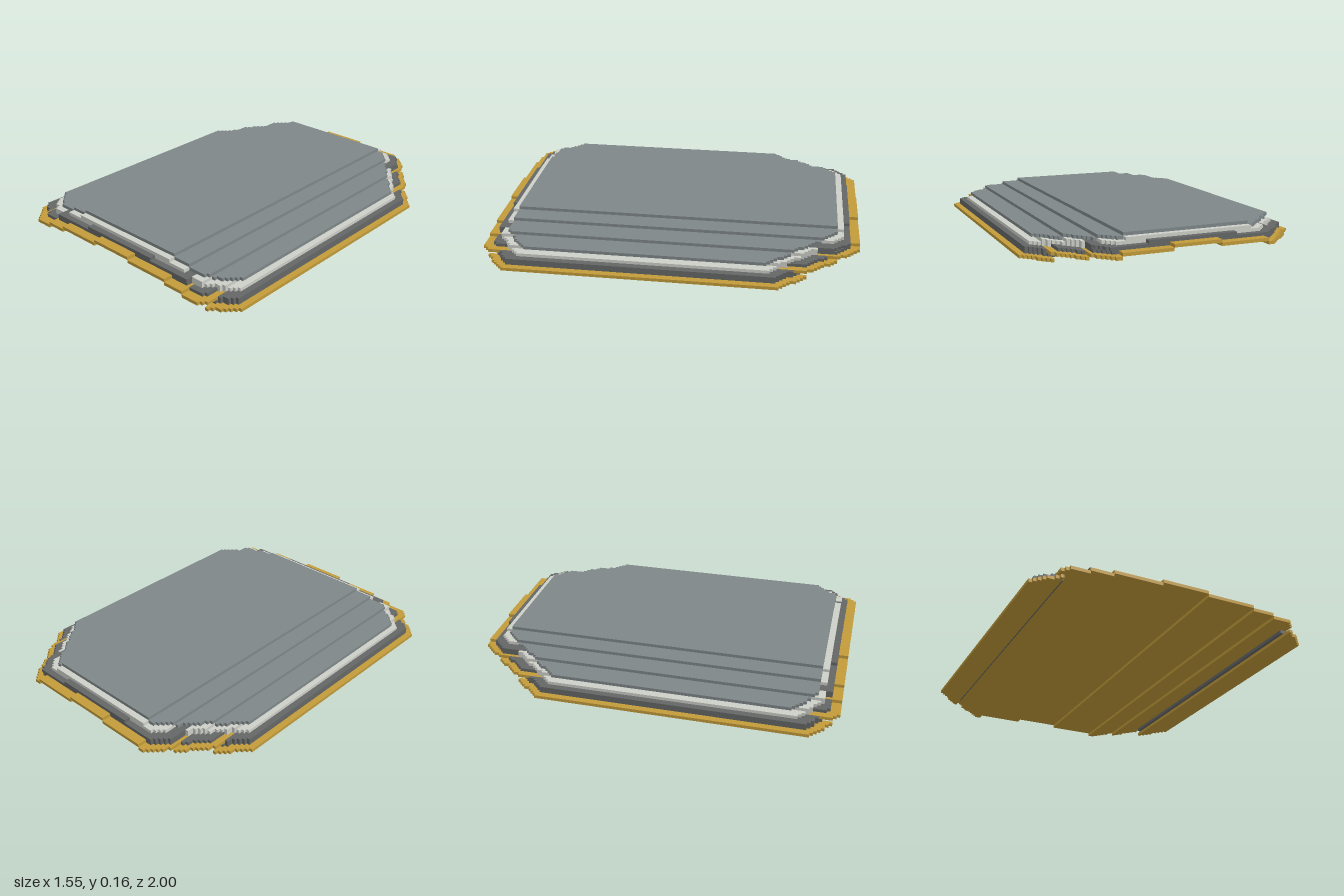
import * as THREE from 'three';

const U = 2 / 116; // size of one block

const mat = (name, color) => {
  const m = new THREE.MeshStandardMaterial({ color });
  m.name = name;
  return m;
};

// Each layer is an octagonal plate bent into steps across x (all in blocks).
// half: half width, end: half length; front/back: [flat half width, z where the corner ends]
// strips: [inner x, outer x, bottom row, top row]
const LAYERS = [
  {
    name: 'goldBacking', material: mat('gold', 0xc29b3a),
    half: 45, end: 58, front: [35, 50], back: [25, 33],
    strips: [[0, 7.5, 5, 6], [7.5, 23, 4, 5], [23, 30, 3, 4], [30, 38, 2, 3], [37, 45, 0, 1]],
  },
  {
    name: 'darkFrame', material: mat('dark grey', 0x656766),
    half: 43, end: 55, front: [34, 49], back: [25, 32],
    strips: [[0, 14, 6, 7], [7.5, 29, 5, 6], [23, 29, 4, 5], [30, 36, 3, 4], [38, 43, 2, 3], [36, 43, 1, 2]],
  },
  {
    name: 'lightRim', material: mat('light grey', 0xcdcfc8),
    half: 41, end: 53, front: [32, 46], back: [23, 30],
    strips: [[0, 20, 7, 8], [14, 26, 6, 7], [29, 33, 5, 6], [29, 38, 4, 5], [36, 41, 3, 4]],
  },
  {
    name: 'slateFace', material: mat('slate grey', 0x7f8789),
    half: 40, end: 51, front: [31, 44], back: [22, 29],
    strips: [[0, 20, 8, 9], [20, 26, 7, 8], [26, 33, 6, 7], [33, 40, 5, 6]],
  },
];

// Stepped distance from the middle to the plate's edge at a column
function reach(layer, [flat, corner], x) {
  const t = Math.max(0, (Math.abs(x) - flat) / (layer.half - flat));
  return Math.round(THREE.MathUtils.lerp(layer.end, corner, t));
}

// Flat strip from xa to xb with staircase ends
function stripGeometry(layer, xa, xb, bottom, top) {
  const front = [], back = [];
  for (let x = xa; x < xb; x++) {
    const next = Math.min(x + 1, xb), mid = (x + next) / 2;
    const f = -reach(layer, layer.front, mid), b = reach(layer, layer.back, mid);
    front.push([x, f], [next, f]);
    back.push([x, b], [next, b]);
  }
  const outline = [...front, ...back.reverse()]
    .filter((p, i, a) => !i || p[0] !== a[i - 1][0] || p[1] !== a[i - 1][1])
    .map(([x, y]) => new THREE.Vector2(x * U, y * U));
  const geo = new THREE.ExtrudeGeometry(new THREE.Shape(outline), {
    depth: (top - bottom) * U, bevelEnabled: false,
  });
  geo.rotateX(-Math.PI / 2);
  geo.translate(0, bottom * U, 0);
  return geo;
}

export function createModel() {
  const model = new THREE.Group();
  model.name = 'curvedShield';
  for (const layer of LAYERS) {
    const group = new THREE.Group();
    group.name = layer.name;
    const add = (name, ...args) => {
      const mesh = new THREE.Mesh(stripGeometry(layer, ...args), layer.material);
      mesh.name = name;
      group.add(mesh);
    };
    for (const [x0, x1, bottom, top] of layer.strips) {
      if (x0 === 0) {
        add('centreStrip', -x1, x1, bottom, top);
      } else {
        add('leftStrip', x0, x1, bottom, top);
        add('rightStrip', -x1, -x0, bottom, top);
      }
    }
    model.add(group);
  }
  return model;
}
